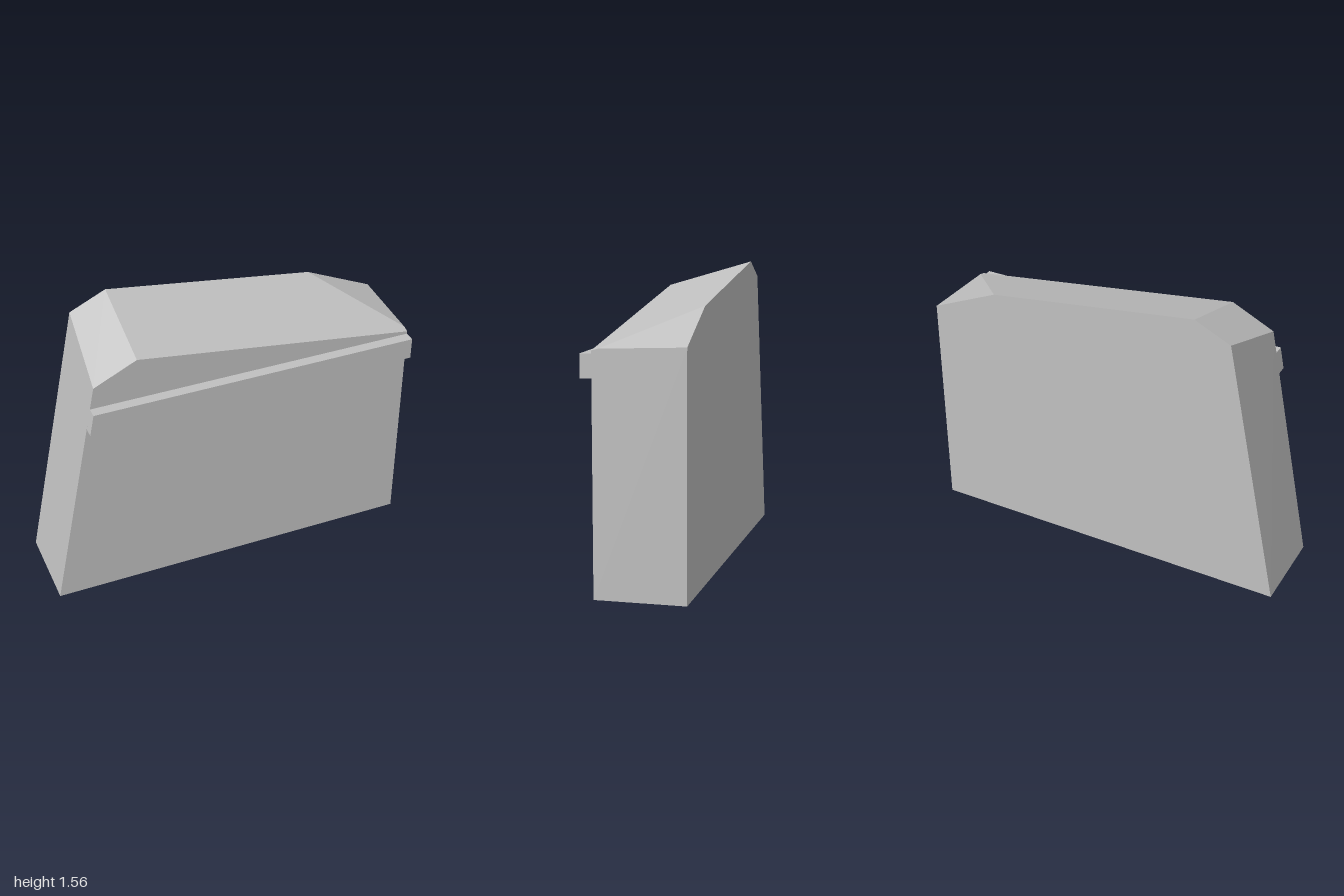
import * as THREE from 'three';

const FRONT = 0.203, BACK = -0.26;

// Flat-shaded solid from planar polygons (corners counter-clockwise seen from outside)
function solid(corners, faces) {
  const pos = [];
  for (const f of faces)
    for (let i = 1; i < f.length - 1; i++)
      for (const k of [f[0], f[i], f[i + 1]]) pos.push(...corners[k]);
  const geo = new THREE.BufferGeometry();
  geo.setAttribute('position', new THREE.Float32BufferAttribute(pos, 3));
  geo.computeVertexNormals();
  return geo;
}

export function createModel() {
  const group = new THREE.Group();
  const grey = new THREE.MeshStandardMaterial({ color: 0xc0c0c0 });
  grey.name = 'grey';

  // Slab with one leaning end and a top that rises towards the back
  const corners = [
    [-1, 0, FRONT], [1, 0, FRONT], [1, 1.205, FRONT], [-0.51, 1.42, FRONT], [-0.74, 1.31, FRONT],
    [-1, 0, BACK], [1, 0, BACK], [1, 1.23, BACK], [0.63, 1.395, BACK], [-0.51, 1.557, BACK], [-0.705, 1.466, BACK],
    [1, 1.214, 0.17], // where the corner bevel meets the end
  ];
  const body = new THREE.Mesh(solid(corners, [
    [0, 1, 2, 3, 4],      // front
    [6, 5, 10, 9, 8, 7],  // back
    [1, 6, 7, 11, 2],     // upright end
    [5, 0, 4, 10],        // leaning end
    [4, 3, 9, 10],        // short top slope
    [3, 2, 11, 8, 9],     // long top slope
    [11, 7, 8],           // corner bevel
    [5, 6, 1, 0],         // underside
  ]), grey);
  body.name = 'body';
  group.add(body);

  // Ledge strip across the front, its end following the leaning side
  const strip = new THREE.Shape([[-0.787, 1.072], [1, 1.072], [1, 1.19], [-0.764, 1.19]]
    .map(([x, y]) => new THREE.Vector2(x, y)));
  const ledge = new THREE.Mesh(
    new THREE.ExtrudeGeometry(strip, { depth: 0.26 - FRONT, bevelEnabled: false }), grey);
  ledge.position.z = FRONT;
  ledge.name = 'frontLedge';
  group.add(ledge);

  return group;
}
